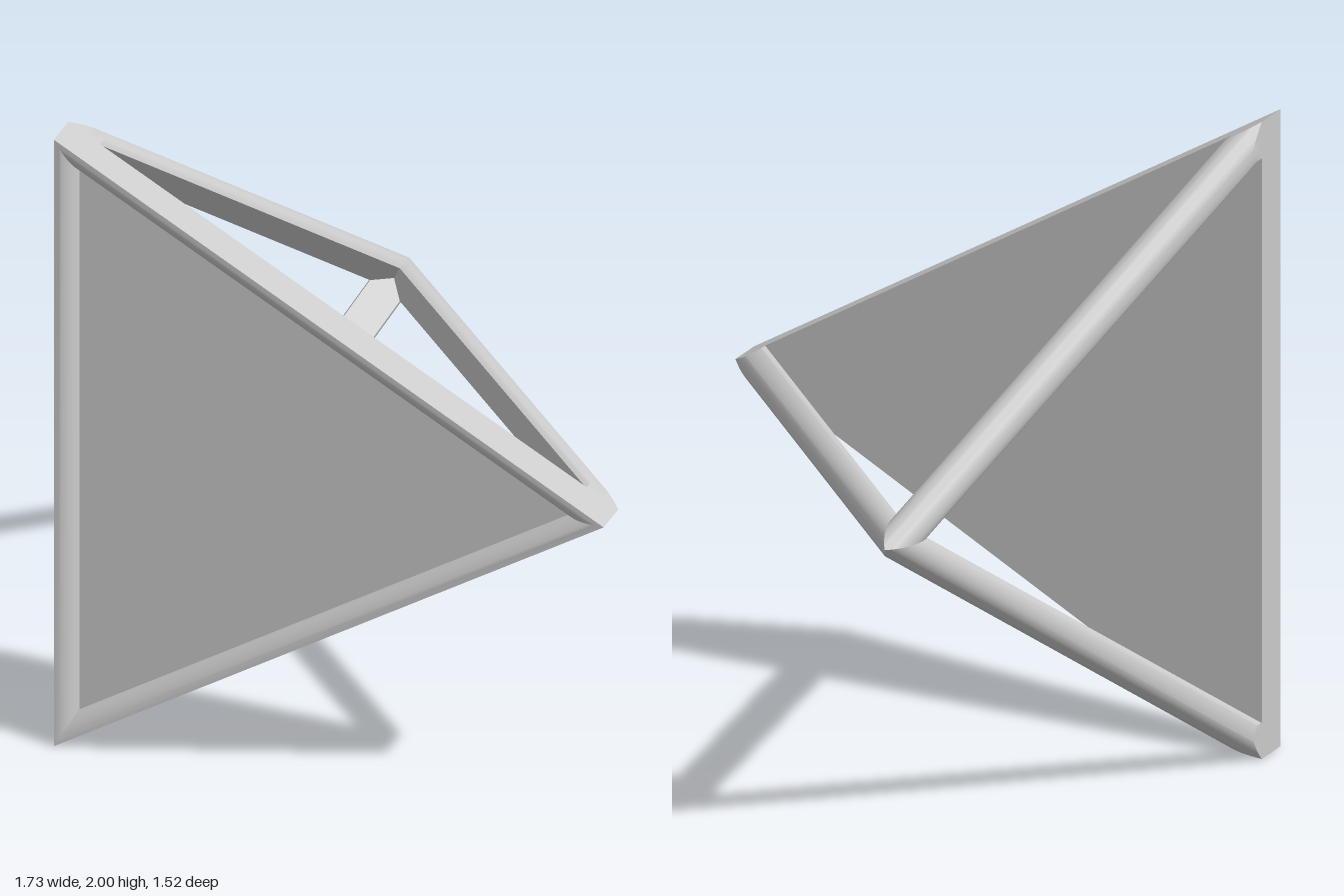
import * as THREE from 'three';
import { toCreasedNormals } from 'three/addons/utils/BufferGeometryUtils.js';

const R = 2 / Math.sqrt(3);   // circumradius of the triangular base
const BACK = 0.63, FRONT = 0.76, APEX = -0.76;
const HEIGHT = BACK - APEX;
const material = new THREE.MeshStandardMaterial({ color: 0xcccccc });

// Triangular slab: flat back and sides, rounded rim falling to a sunken panel
function baseGeometry() {
  const rim = 0.065, sink = 0.05, steps = 10;
  const profile = [new THREE.Vector2(0, BACK), new THREE.Vector2(R, BACK)];
  const end = Math.acos((rim - sink) / rim);
  for (let i = 0; i <= steps; i++) {
    const a = end * i / steps;
    profile.push(new THREE.Vector2(R - 2 * rim * Math.sin(a), FRONT - rim + rim * Math.cos(a)));
  }
  profile.push(new THREE.Vector2(0, FRONT - sink));
  const geo = new THREE.LatheGeometry(profile, 3, Math.PI / 2).rotateX(Math.PI / 2);
  return toCreasedNormals(geo, 0.5);
}

// Strut from a base corner to the apex: round outside, flat inside, mitred at both ends
function strutGeometry() {
  const radius = 0.0575, depth = 0.077, segs = 24;
  const slant = Math.hypot(R, HEIGHT) / HEIGHT;
  const max = Math.acos((radius - depth) / radius);
  const section = [];          // [inset from the outer line, sideways offset]
  for (let i = 0; i <= segs; i++) {
    const a = max * (2 * i / segs - 1);
    section.push([radius * (1 - Math.cos(a)), radius * Math.sin(a)]);
  }
  section.push([depth, 0]);

  const rings = [[], [], []];
  for (const [inset, t] of section) {
    const zAt = r => APEX + (r + inset * slant) * HEIGHT / R;
    const corner = R - Math.abs(t) * Math.sqrt(3);        // limit set by the slab's sides
    const r0 = Math.min(R - inset * slant, corner);
    const r2 = Math.abs(t) / Math.sqrt(3);                // mitre with the other struts
    rings[0].push(r0, t, BACK);
    rings[1].push(r0, t, Math.min(BACK, zAt(r0)));
    rings[2].push(r2, t, zAt(r2));
  }
  const n = section.length, index = [];
  for (let k = 0; k < 2; k++) {
    for (let i = 0; i < n; i++) {
      const a = k * n + i, b = k * n + (i + 1) % n;
      index.push(a, a + n, b + n, a, b + n, b);
    }
  }
  const geo = new THREE.BufferGeometry();
  geo.setAttribute('position', new THREE.Float32BufferAttribute(rings.flat(), 3));
  geo.setIndex(index);
  return toCreasedNormals(geo, 0.6);
}

export function createModel() {
  const group = new THREE.Group();
  group.name = 'triangularPyramidFrame';
  const add = (geo, name, angle = 0) => {
    const mesh = new THREE.Mesh(geo, material);
    mesh.name = name;
    mesh.position.set(-R / 4, 1, 0);
    mesh.rotation.z = angle;
    group.add(mesh);
  };

  add(baseGeometry(), 'basePanel');
  const strut = strutGeometry();
  ['leftStrut', 'upperRightStrut', 'lowerRightStrut'].forEach((name, i) =>
    add(strut, name, i * 2 * Math.PI / 3));
  return group;
}
